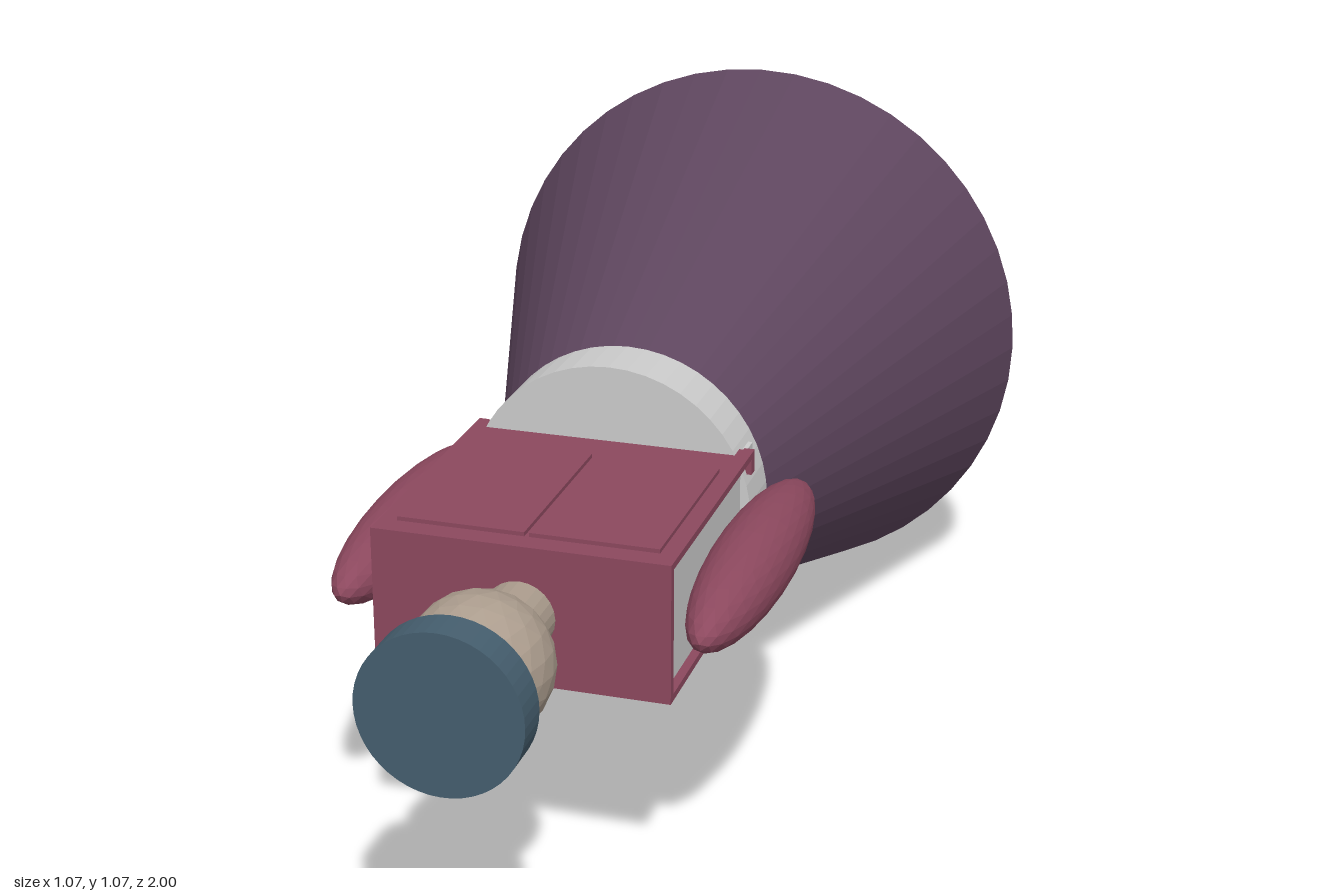
import * as THREE from 'three';

const CY = 0.54; // height of the long axis

export function createModel() {
  const model = new THREE.Group();
  const mat = (color) => new THREE.MeshStandardMaterial({ color, flatShading: true });
  const grey = mat(0xcccccc), red = mat(0x8c485e), purple = mat(0x5e465e);
  const skin = mat(0xab9c8d), blue = mat(0x455e6e), brown = mat(0x665b4f);

  const add = (name, geometry, material, x, y, z) => {
    const mesh = new THREE.Mesh(geometry, material);
    mesh.name = name;
    mesh.position.set(x, y, z);
    model.add(mesh);
    return mesh;
  };
  // box given by its limits
  const box = (name, material, x0, x1, y0, y1, z0, z1) =>
    add(name, new THREE.BoxGeometry(x1 - x0, y1 - y0, z1 - z0), material,
      (x0 + x1) / 2, (y0 + y1) / 2, (z0 + z1) / 2);
  // round part along z, from back z0 to front z1
  const round = (name, material, rBack, rFront, z0, z1, x = 0, sides = 48) =>
    add(name, new THREE.CylinderGeometry(rFront, rBack, z1 - z0, sides).rotateX(Math.PI / 2),
      material, x, CY, (z0 + z1) / 2);

  // skirt with its base plate, and the belt
  round('skirt', purple, 0.535, 0.24, -0.832, 0.075);
  round('skirtBase', purple, 0.485, 0.485, -0.838, -0.82);
  round('belt', grey, 0.255, 0.255, 0.07, 0.18);

  // head, neck and hat
  round('neck', skin, 0.06, 0.06, 0.63, 0.74, 0, 24);
  add('head', new THREE.IcosahedronGeometry(0.118, 3), skin, 0, CY, 0.825);
  round('hat', blue, 0.135, 0.135, 0.937, 1);

  // torso with the shoulder plate
  box('torso', grey, -0.235, 0.235, 0.425, 0.655, 0.1, 0.635);
  box('shoulderPlate', red, -0.25, 0.25, 0.42, 0.66, 0.63, 0.645);

  // chest and back plates with raised panels
  for (const s of [1, -1]) {
    const slab = (name, x0, x1, a, b, z0, z1) =>
      box(name, red, x0, x1, CY + Math.min(s * a, s * b), CY + Math.max(s * a, s * b), z0, z1);
    slab('jacketPlate', -0.25, 0.25, 0.108, 0.12, 0.15, 0.64);
    for (const m of [1, -1]) {
      const x = (a, b) => [Math.min(m * a, m * b), Math.max(m * a, m * b)];
      slab('jacketPanel', ...x(0.004, 0.22), 0.115, s > 0 ? 0.127 : 0.135, 0.26, 0.605);
      slab('jacketLip', ...x(0.232, 0.25), 0.08, 0.12, 0.143, 0.162);
      if (s < 0) slab('frontTrim', ...x(0.012, 0.022), 0.115, 0.147, 0.26, 0.605);
    }
  }

  // arms, legs and shoes
  for (const m of [1, -1]) {
    add('arm', new THREE.IcosahedronGeometry(1, 4).rotateX(Math.atan(0.618034)).scale(0.07, 0.07, 0.328),
      red, m * 0.3, CY, 0.333);
    round('leg', grey, 0.077, 0.077, -0.915, -0.83, m * 0.105, 32);
    box('shoe', brown, m * 0.105 - 0.075, m * 0.105 + 0.075, 0.355, 0.63, -1, -0.927);
  }
  return model;
}
